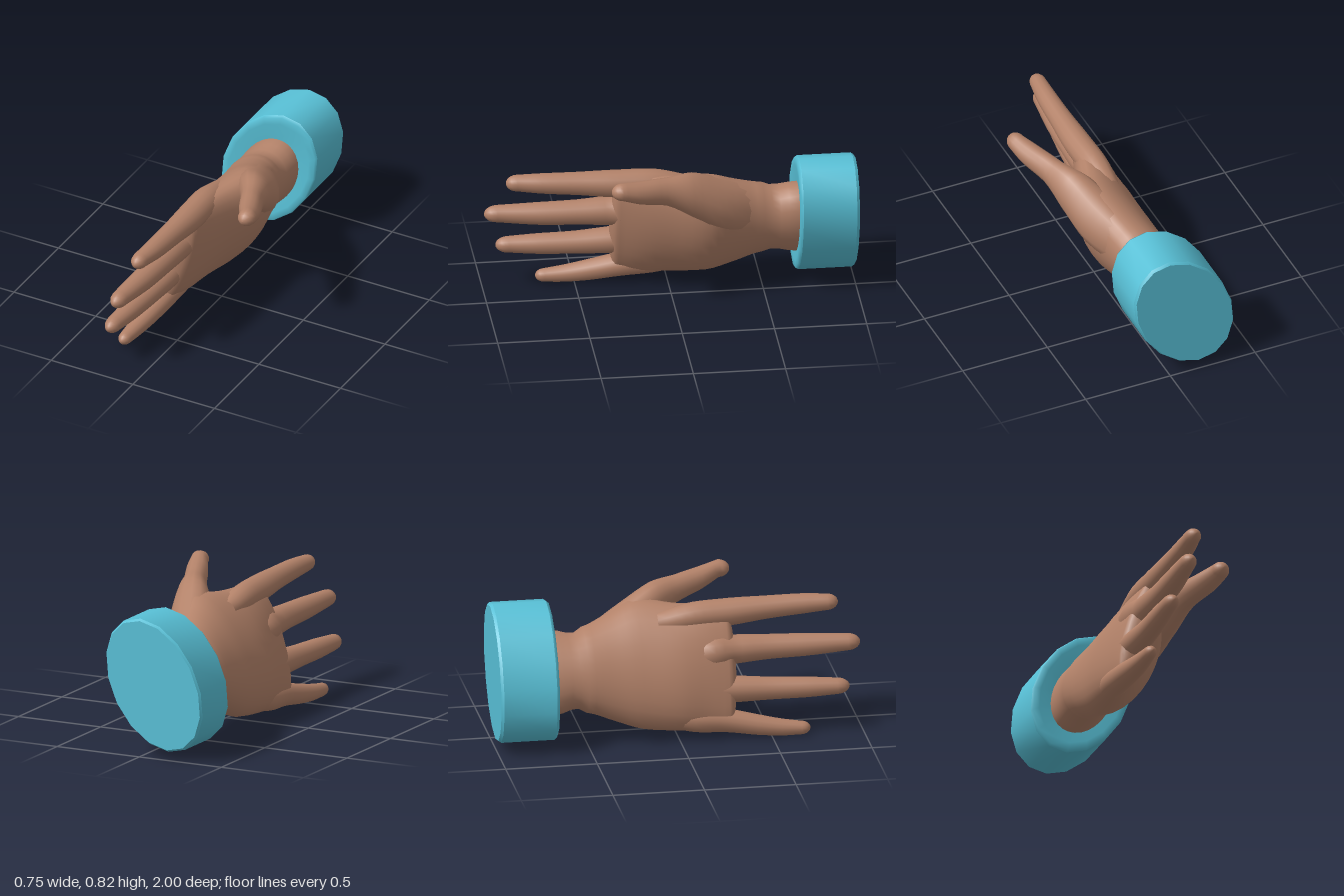
import * as THREE from 'three';

const skin = new THREE.MeshStandardMaterial({ color: 0xb38269 });
skin.name = 'brown skin';
const cloth = new THREE.MeshStandardMaterial({ color: 0x58c0d6 });
cloth.name = 'blue cloth';

// Smoothly resample sections [z, x, y, long radius, short radius, tilt in degrees]
function smooth(sections, steps) {
  const rows = sections.map(([z, x, y, a, b = a, tilt = 0]) => [z, x, y, a, b, tilt]);
  const centre = new THREE.CatmullRomCurve3(rows.map(([z, x, y]) => new THREE.Vector3(x, y, z)));
  const shape = new THREE.CatmullRomCurve3(rows.map(([, , , a, b, t]) => new THREE.Vector3(a, b, t / 90)));
  const out = [];
  for (let i = 0; i <= steps; i++) {
    const c = centre.getPoint(i / steps), s = shape.getPoint(i / steps);
    out.push([c.z, c.x, c.y, s.x, s.y, s.z * 90]);
  }
  return out;
}

// Add a rounded end that reaches tipZ
function roundTip(sections, tipZ) {
  const [z, x, y, a, b, tilt] = sections[sections.length - 1];
  const rings = [0.3, 0.55, 0.75, 0.9, 0.98, 1].map((s) => {
    const k = Math.sqrt(1 - s * s);
    return [z + (tipZ - z) * s, x, y, a * k, b * k, tilt];
  });
  return [...sections, ...rings];
}

// Skin elliptical sections, ordered from back to front
function loft(sections, sides) {
  const positions = [], index = [];
  for (const [z, x, y, a, b, tilt] of sections) {
    const t = THREE.MathUtils.degToRad(tilt), sn = Math.sin(t), cs = Math.cos(t);
    for (let i = 0; i < sides; i++) {
      const p = (i / sides) * Math.PI * 2;
      const u = a * Math.cos(p), v = b * Math.sin(p);
      positions.push(x + u * sn + v * cs, y + u * cs - v * sn, z);
    }
  }
  for (let j = 0; j < sections.length - 1; j++) {
    for (let i = 0; i < sides; i++) {
      const k = (i + 1) % sides;
      const p = j * sides + i, q = j * sides + k;
      index.push(p, p + sides, q, q, p + sides, q + sides);
    }
  }
  const geometry = new THREE.BufferGeometry();
  geometry.setAttribute('position', new THREE.Float32BufferAttribute(positions, 3));
  geometry.setIndex(index);
  geometry.computeVertexNormals();
  return geometry;
}

export function createModel() {
  const group = new THREE.Group();
  const add = (name, geometry, material) => {
    const mesh = new THREE.Mesh(geometry, material);
    mesh.name = name;
    group.add(mesh);
  };

  // Wrist and palm, tilted with the thumb side up
  const palm = [
    [-0.85, -0.085, 0.39, 0.235, 0.16, 29],
    [-0.68, -0.085, 0.39, 0.235, 0.16, 29],
    [-0.5, -0.085, 0.395, 0.235, 0.16, 29],
    [-0.35, -0.065, 0.395, 0.295, 0.17, 28],
    [-0.2, -0.05, 0.4, 0.355, 0.18, 27],
    [0, -0.09, 0.385, 0.345, 0.15, 22],
    [0.15, -0.108, 0.38, 0.34, 0.118, 18],
    [0.27, -0.125, 0.375, 0.33, 0.085, 17],
  ];
  add('palm', loft(roundTip(smooth(palm, 28), 0.32), 28), skin);

  // Fingers and thumb: tip position along z, then sections
  const digits = {
    indexFinger: [0.89, [
      [-0.1, -0.05, 0.62, 0.06], [0.1, -0.045, 0.652, 0.077], [0.3, -0.037, 0.662, 0.075],
      [0.5, -0.035, 0.675, 0.063], [0.7, -0.038, 0.685, 0.055], [0.83, -0.048, 0.69, 0.045]]],
    middleFinger: [1, [
      [-0.1, -0.11, 0.44, 0.06], [0.1, -0.11, 0.455, 0.08], [0.3, -0.105, 0.47, 0.08],
      [0.5, -0.1, 0.473, 0.068], [0.7, -0.105, 0.474, 0.062], [0.93, -0.117, 0.48, 0.047]]],
    ringFinger: [0.93, [
      [-0.1, -0.16, 0.27, 0.06], [0.1, -0.17, 0.27, 0.077], [0.3, -0.167, 0.266, 0.073],
      [0.5, -0.17, 0.26, 0.062], [0.7, -0.18, 0.258, 0.056], [0.86, -0.19, 0.258, 0.045]]],
    littleFinger: [0.71, [
      [-0.1, -0.18, 0.15, 0.06], [0.08, -0.2, 0.121, 0.073], [0.25, -0.2, 0.103, 0.066],
      [0.42, -0.212, 0.072, 0.057], [0.55, -0.222, 0.053, 0.047], [0.66, -0.228, 0.045, 0.037]]],
    thumb: [0.36, [
      [-0.52, -0.03, 0.46, 0.12, 0.08], [-0.28, 0.07, 0.555, 0.145, 0.13],
      [-0.1, 0.148, 0.66, 0.125, 0.107], [0.05, 0.215, 0.72, 0.077, 0.07],
      [0.2, 0.28, 0.752, 0.062, 0.066], [0.3, 0.322, 0.782, 0.048, 0.05]]],
  };
  for (const [name, [tipZ, sections]] of Object.entries(digits)) {
    add(name, loft(roundTip(smooth(sections, 20), tipZ), 14), skin);
  }

  // Cuff: closed at the back, bevelled rims, flat front meeting the wrist
  const ring = (z, k) => [z, -0.085, 0.41, 0.385 * k, 0.26 * k, 29];
  const cuff = [
    ring(-1, 0), ring(-1, 0.97), ring(-1, 0.97), ring(-0.985, 1), ring(-0.985, 1),
    ring(-0.695, 1), ring(-0.695, 1), ring(-0.68, 0.97), ring(-0.68, 0.85), ring(-0.69, 0.55),
  ];
  add('cuff', loft(cuff, 16), cloth);

  return group;
}
